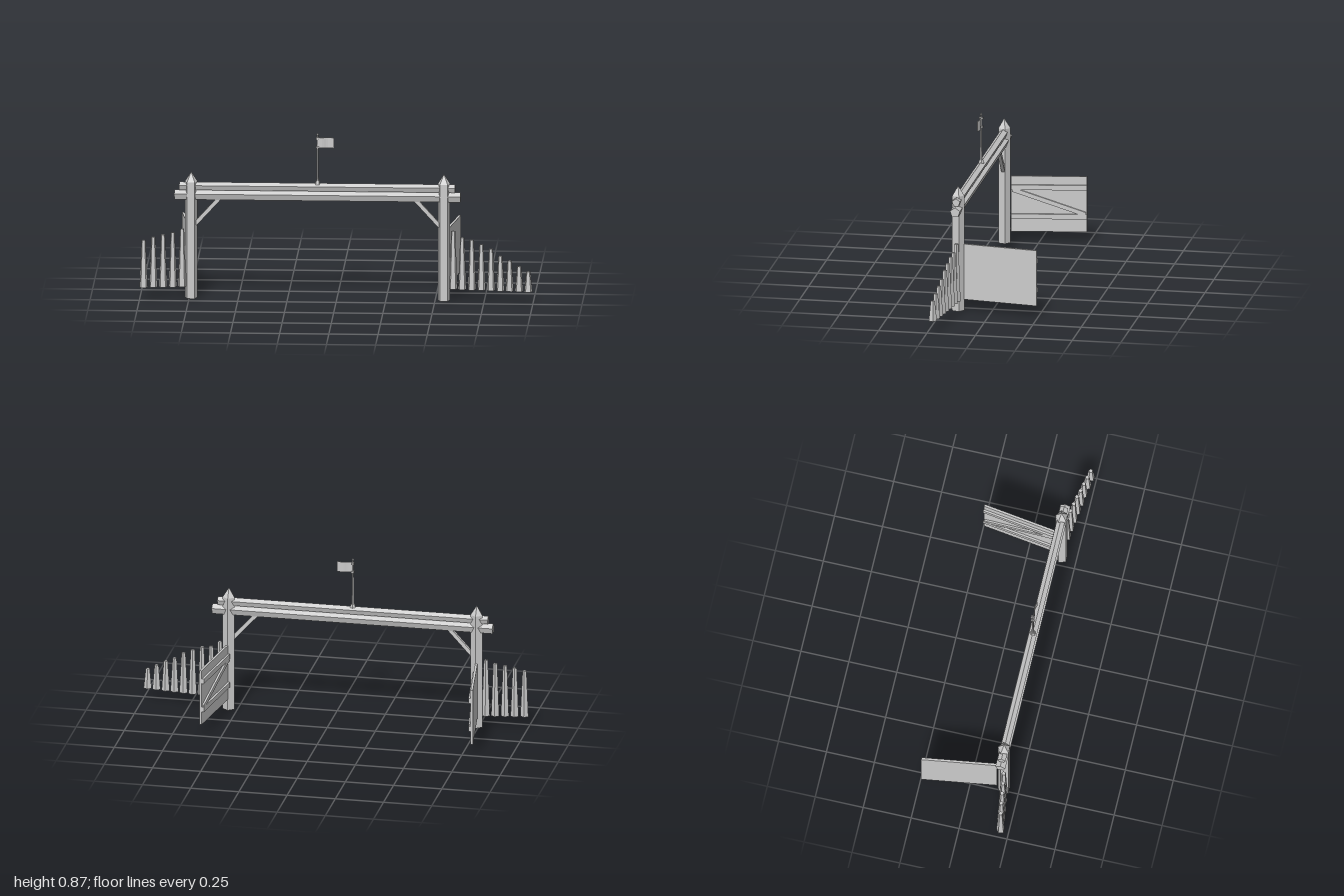
import * as THREE from 'three';

const wood = new THREE.MeshStandardMaterial({ color: 0xcccccc, flatShading: true });
wood.name = 'plain grey';

const MID = -0.0975; // centre line of the gateway
const Z = 0.174; // depth of posts and beams

function add(parent, name, geometry, x, y, z) {
  const mesh = new THREE.Mesh(geometry, wood);
  mesh.name = name;
  mesh.position.set(x, y, z);
  parent.add(mesh);
  return mesh;
}

// five-sided log, standing, with one corner towards the back
const log = (rTop, rBottom, h, start = Math.PI) =>
  new THREE.CylinderGeometry(rTop, rBottom, h, 5, 1, false, start);

// five-sided log lying along x, with one corner upwards
function beam(parent, name, x0, x1, y, r) {
  const mesh = add(parent, name, log(r, r, x1 - x0, -Math.PI / 2), (x0 + x1) / 2, y, Z);
  mesh.rotation.z = -Math.PI / 2;
}

function gateLeaf(side) {
  const leaf = new THREE.Group();
  leaf.name = side > 0 ? 'leftGate' : 'rightGate';
  leaf.position.set(MID + side * 0.644, 0, 0.139);
  leaf.rotation.y = -side * 0.145;
  const L = 0.387, inner = -side * 0.008;
  add(leaf, 'gatePanel', new THREE.BoxGeometry(0.012, 0.292, L), side * 0.003, 0.206, -L / 2);
  for (const y of [0.295, 0.142]) {
    add(leaf, 'gateBatten', new THREE.BoxGeometry(0.012, 0.026, L), inner, y, -L / 2);
  }
  // diagonal from the upper hinge corner to the lower free corner
  const rise = 0.128, run = 0.37;
  const diagonal = add(leaf, 'gateDiagonal',
    new THREE.BoxGeometry(0.01, 0.022, Math.hypot(rise, run)), inner, 0.2185, -L / 2);
  diagonal.rotation.x = -Math.atan2(rise, run);
  return leaf;
}

export function createModel() {
  const model = new THREE.Group();
  model.name = 'palisadeGateway';

  for (const side of [-1, 1]) {
    // pointed post
    const x = MID + side * 0.6425;
    add(model, 'post', log(0.033, 0.033, 0.605), x, 0.3025, Z);
    add(model, 'postTip', log(0, 0.033, 0.05), x, 0.63, Z);

    // diagonal brace under the beam
    const brace = add(model, 'brace', new THREE.BoxGeometry(0.02, 0.19, 0.018),
      MID + side * 0.558, 0.455, Z);
    brace.rotation.z = side * 0.74;

    model.add(gateLeaf(side));
  }

  beam(model, 'lowerBeam', -0.825, 0.63, 0.535, 0.027);
  beam(model, 'upperBeam', -0.8, 0.602, 0.58, 0.022);

  // tapered fence stakes: [x, top, z]
  const stakes = [
    [-0.98, 0.305, 0.212], [-0.931, 0.32, 0.204], [-0.882, 0.332, 0.197],
    [-0.833, 0.342, 0.19], [-0.786, 0.36, 0.183],
    [0.592, 0.36, 0.174], [0.638, 0.328, 0.18], [0.687, 0.318, 0.186],
    [0.736, 0.297, 0.192], [0.785, 0.275, 0.198], [0.833, 0.24, 0.205],
    [0.88, 0.218, 0.211], [0.929, 0.19, 0.218], [0.976, 0.165, 0.225],
  ];
  for (const [x, top, z] of stakes) {
    add(model, 'stake', log(0.011, 0.022, top - 0.06), x, (top + 0.06) / 2, z);
  }

  // flagpole with collar, finial and ties
  add(model, 'poleCollar', log(0.011, 0.016, 0.018), MID, 0.605, Z);
  add(model, 'flagpole', log(0.004, 0.0065, 0.25), MID, 0.725, Z);
  add(model, 'finialBase', log(0.0065, 0.003, 0.006), MID, 0.85, Z);
  add(model, 'finialTip', log(0, 0.0065, 0.012), MID, 0.859, Z);
  for (const y of [0.788, 0.834]) {
    add(model, 'flagTie', new THREE.BoxGeometry(0.014, 0.009, 0.02), MID, y, Z);
  }

  // gently waving flag
  const cloth = new THREE.BoxGeometry(0.082, 0.054, 0.003, 8, 1, 1);
  const p = cloth.attributes.position;
  for (let i = 0; i < p.count; i++) {
    p.setZ(i, p.getZ(i) + 0.004 * Math.sin((p.getX(i) + 0.041) * 90));
  }
  cloth.computeVertexNormals();
  add(model, 'flag', cloth, MID + 0.043, 0.812, Z);

  return model;
}
